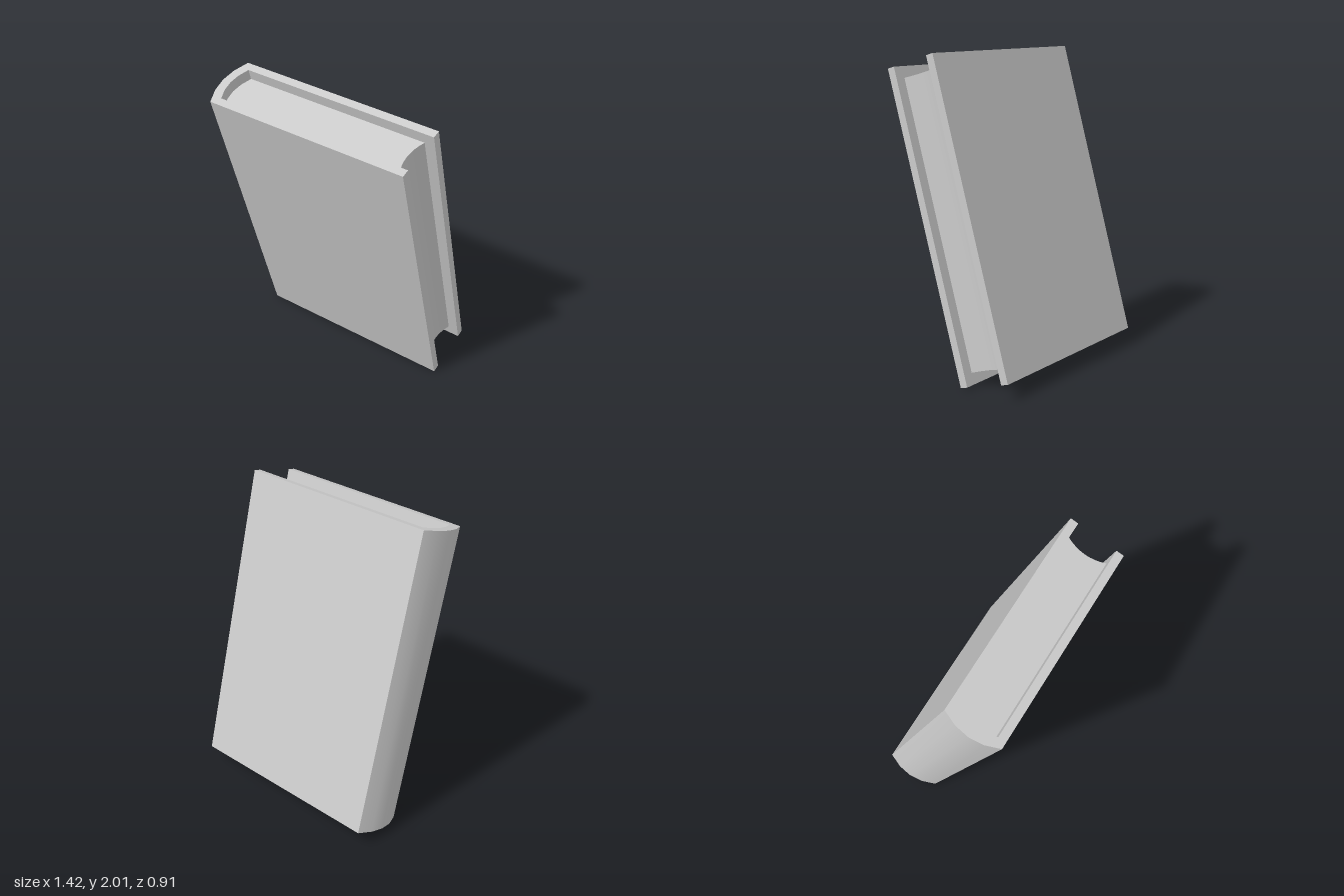
import * as THREE from 'three';
import { toCreasedNormals } from 'three/addons/utils/BufferGeometryUtils.js';

// Points of a shallow arc from z = -half to z = +half, bulging from xEnd to xMid
function arc(xEnd, xMid, half, segments = 4) {
  const points = [];
  for (let i = 0; i <= segments; i++) {
    const t = (i / segments) * 2 - 1;
    points.push(new THREE.Vector2(xEnd + (xMid - xEnd) * (1 - t * t), t * half));
  }
  return points;
}

// Extrude a plan outline upward, centred on the origin
function upright(points, height) {
  const geometry = new THREE.ExtrudeGeometry(new THREE.Shape(points), {
    depth: height, bevelEnabled: false,
  });
  geometry.translate(0, 0, -height / 2).rotateX(-Math.PI / 2);
  return toCreasedNormals(geometry, 0.5);
}

export function createModel() {
  const material = new THREE.MeshStandardMaterial({ color: 0xcccccc });
  const book = new THREE.Group();
  book.name = 'book';

  const outerHalf = 0.187, innerHalf = 0.135, openEdge = 0.697;

  // Cover: two boards joined by a rounded spine
  const cover = new THREE.Mesh(upright([
    new THREE.Vector2(openEdge, -outerHalf),
    ...arc(-0.653, -0.703, outerHalf),
    new THREE.Vector2(openEdge, outerHalf),
    new THREE.Vector2(openEdge, innerHalf),
    ...arc(-0.61, -0.645, innerHalf).reverse(),
    new THREE.Vector2(openEdge, -innerHalf),
  ], 1.975), material);
  cover.name = 'cover';

  // Page block: rounded at the spine, hollowed at the fore edge
  const pages = new THREE.Mesh(upright([
    ...arc(-0.61, -0.645, innerHalf),
    ...arc(0.629, 0.597, innerHalf, 8).reverse(),
  ], 1.83), material);
  pages.name = 'pages';

  book.add(cover, pages);

  // Lean the book forward with a slight sideways twist
  const xAxis = new THREE.Vector3(1, -0.006, -0.006).normalize();
  const yAxis = new THREE.Vector3(0.008, 0.962, 0.272).normalize();
  const zAxis = new THREE.Vector3().crossVectors(xAxis, yAxis).normalize();
  yAxis.crossVectors(zAxis, xAxis);
  book.quaternion.setFromRotationMatrix(new THREE.Matrix4().makeBasis(xAxis, yAxis, zAxis));
  book.position.y = 1.003;

  const model = new THREE.Group();
  model.add(book);
  return model;
}
